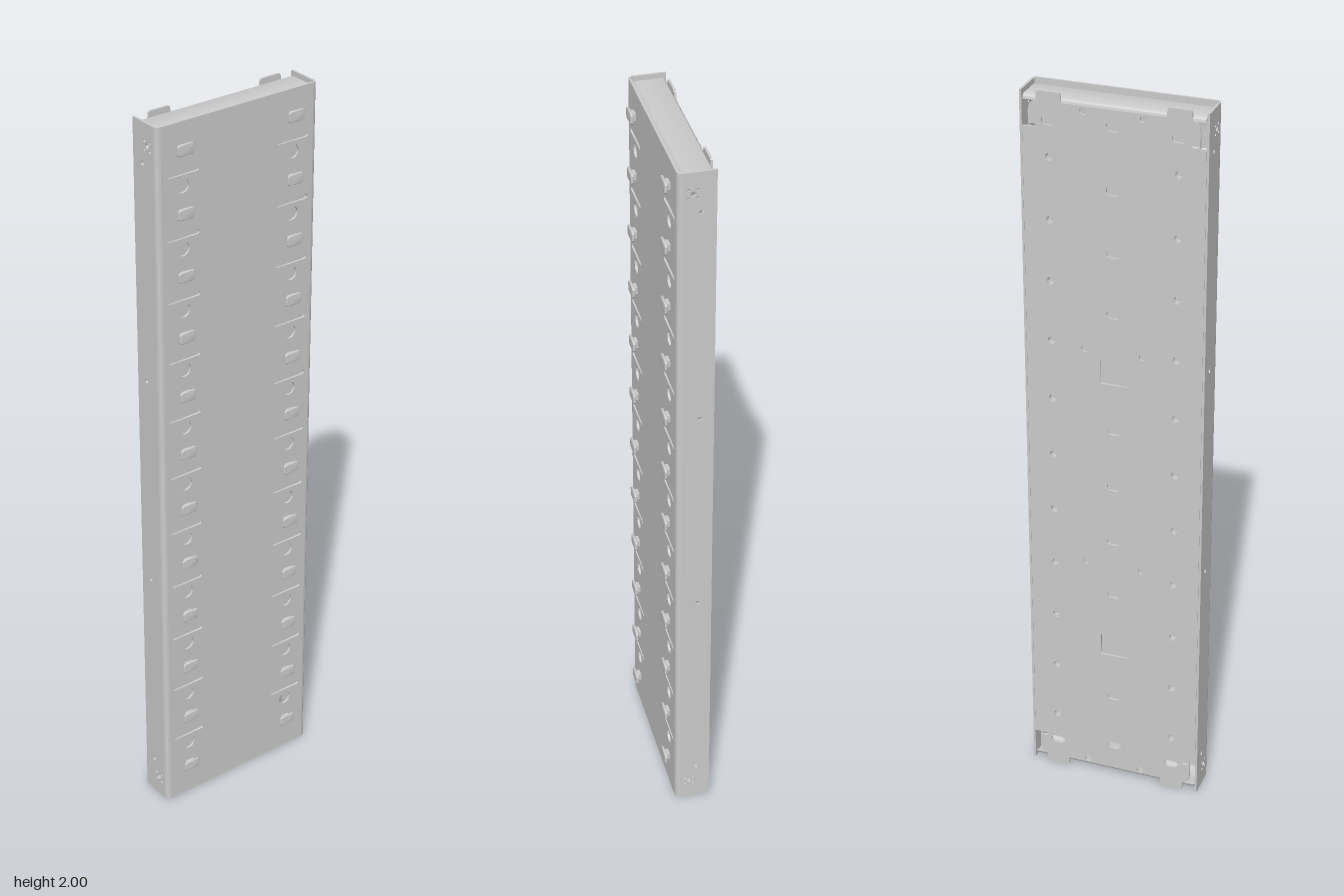
import * as THREE from 'three';
import { toCreasedNormals } from 'three/addons/utils/BufferGeometryUtils.js';

const W = 0.242, T = 0.006, BACK = -0.057, FRONT = 0.038, R = 0.012;
const Y0 = 0.003, Y1 = 1.997, PITCH = 0.1664, COL = 0.167;
const hookRows = Array.from({ length: 12 }, (_, i) => 0.1 + i * PITCH);
const holeRows = Array.from({ length: 11 }, (_, i) => 0.168 + i * PITCH);

const material = new THREE.MeshStandardMaterial({ color: 0xcccccc, side: THREE.DoubleSide });

function add(parent, name, geometry, x = 0, y = 0, z = 0) {
  const mesh = new THREE.Mesh(geometry, material);
  mesh.name = name;
  mesh.position.set(x, y, z);
  parent.add(mesh);
  return mesh;
}

function extrude(shape, depth, options = {}) {
  const g = new THREE.ExtrudeGeometry(shape, { depth, bevelEnabled: false, curveSegments: 8, ...options });
  return toCreasedNormals(g, 0.6);
}

// Rounded rectangle outline centred on (x, y)
function roundRect(target, x, y, w, h, r) {
  const a = w / 2 - r, b = h / 2 - r;
  target.absarc(x + a, y + b, r, 0, Math.PI / 2);
  target.absarc(x - a, y + b, r, Math.PI / 2, Math.PI);
  target.absarc(x - a, y - b, r, Math.PI, Math.PI * 1.5);
  target.absarc(x + a, y - b, r, Math.PI * 1.5, Math.PI * 2);
  target.closePath();
  return target;
}

const cutSlot = (shape, x, y, w, h, r) => shape.holes.push(roundRect(new THREE.Path(), x, y, w, h, r));
const cutRound = (shape, x, y, r) => shape.holes.push(new THREE.Path().absarc(x, y, r, 0, Math.PI * 2, true));

function rect(x0, y0, x1, y1) {
  return new THREE.Shape([[x0, y0], [x1, y0], [x1, y1], [x0, y1]].map(p => new THREE.Vector2(...p)));
}

// Front cover: perforated face, two sides and rounded bends
function buildCover() {
  const cover = new THREE.Group();
  cover.name = 'frontCover';

  const face = rect(-W + R, Y0, W - R, Y1);
  for (const s of [-1, 1]) {
    for (const y of holeRows) {
      cutRound(face, s * COL, y, 0.019);
      cutSlot(face, s * COL, y + 0.034, 0.098, 0.012, 0.0059);
    }
  }
  add(cover, 'coverFace', extrude(face, T), 0, 0, FRONT - T);

  const side = rect(BACK, Y0, FRONT - R, Y1);
  for (const y of [0.11, 0.705, 1.3, 1.89]) cutRound(side, -0.02, y, 0.006);
  for (const y of [0.06, 1.94]) {
    cutRound(side, 0, y, 0.007);
    for (let i = 0; i < 4; i++) {
      const a = Math.PI / 4 + i * Math.PI / 2;
      cutRound(side, Math.cos(a) * 0.016, y + Math.sin(a) * 0.016, 0.004);
    }
  }
  const sideGeometry = extrude(side, T).rotateY(-Math.PI / 2);
  add(cover, 'coverSideLeft', sideGeometry, W);
  add(cover, 'coverSideRight', sideGeometry, -W + T);

  // Quarter-round bends between face and sides
  const bend = new THREE.Shape();
  bend.absarc(0, 0, R, -Math.PI / 2, 0, false);
  bend.absarc(0, 0, R - T, 0, -Math.PI / 2, true);
  const bendGeometry = extrude(bend, Y1 - Y0).rotateX(-Math.PI / 2);
  add(cover, 'coverBendLeft', bendGeometry, W - R, Y0, FRONT - R);
  add(cover, 'coverBendRight', bendGeometry, -W + R, Y0, FRONT - R).scale.x = -1;
  return cover;
}

// Back plate with notched corners, raised tabs and a grid of holes
function buildBackPlate() {
  const back = new THREE.Group();
  back.name = 'backPan';
  const half = [
    [0.2355, 1.905], [0.22, 1.905], [0.22, 1.95], [0.217, 1.963], [0.208, 1.972],
    [0.2, 1.975], [0.198, 1.997], [0.195, 2], [0.14, 2], [0.137, 1.997], [0.134, 1.975],
  ];
  const flip = (sx, sy) => half.map(([x, y]) => new THREE.Vector2(sx * x, sy > 0 ? y : 2 - y));
  const plate = new THREE.Shape([
    ...flip(1, 1), ...flip(-1, 1).reverse(), ...flip(-1, -1), ...flip(1, -1).reverse(),
  ]);
  hookRows.forEach((y, i) => {
    if (i === 2 || i === 7) cutSlot(plate, 0, y, 0.075, 0.065, 0.003);
    else cutSlot(plate, 0, y, 0.038, 0.022, 0.0105);
  });
  for (const s of [-1, 1]) {
    for (const y of holeRows) cutRound(plate, s * COL, y, 0.0105);
    for (const y of [0.08, 1.925]) cutSlot(plate, s * COL, y, 0.038, 0.022, 0.0105);
    for (const y of [0.035, 0.69, 1.325, 1.962]) cutRound(plate, s * 0.077, y, 0.0095);
    for (const y of [0.09, 1.91]) cutSlot(plate, s * 0.207, y, 0.02, 0.008, 0.0038);
  }
  add(back, 'backPlate', extrude(plate, T), 0, 0, BACK);

  // Raised collars on the inside of the round holes
  const collar = new THREE.Shape().absarc(0, 0, 0.0135, 0, Math.PI * 2);
  cutRound(collar, 0, 0, 0.0095);
  const collarGeometry = extrude(collar, 0.011);
  for (const s of [-1, 1])
    for (const y of holeRows) add(back, 'holeCollar', collarGeometry, s * COL, y, BACK + T - 0.001);

  // End flange bent forward, with a return lip behind the cover face
  const z0 = BACK + 0.0005, z1 = 0.028, top = 1.986, r = 0.012, t = 0.005;
  const profile = new THREE.Shape();
  profile.moveTo(z0, top - r);
  profile.absarc(z0 + r, top - r, r, Math.PI, Math.PI / 2, true);
  profile.absarc(z1 - r, top - r, r, Math.PI / 2, 0, true);
  profile.lineTo(z1, 1.92);
  profile.lineTo(z1 - t, 1.92);
  profile.absarc(z1 - r, top - r, r - t, 0, Math.PI / 2, false);
  profile.absarc(z0 + r, top - r, r - t, Math.PI / 2, Math.PI, false);
  profile.closePath();
  const flangeGeometry = extrude(profile, 0.466).rotateY(-Math.PI / 2);
  add(back, 'topFlange', flangeGeometry, 0.233);
  add(back, 'bottomFlange', flangeGeometry, 0.233, 2).scale.y = -1;
  return back;
}

// Mushroom-headed rectangular hooks standing out of the cover
function buildHooks() {
  const hooks = new THREE.Group();
  hooks.name = 'hooks';
  const head = extrude(roundRect(new THREE.Shape(), 0, 0, 0.04, 0.022, 0.004), 0.004, {
    bevelEnabled: true, bevelThickness: 0.002, bevelSize: 0.004, bevelSegments: 2, curveSegments: 4,
  });
  const neck = new THREE.BoxGeometry(0.024, 0.018, 0.022);
  const base = new THREE.BoxGeometry(0.04, 0.024, 0.006);
  for (const s of [-1, 1]) {
    for (const y of hookRows) {
      add(hooks, 'hookHead', head, s * COL, y, 0.049);
      add(hooks, 'hookNeck', neck, s * COL, y, 0.038);
      add(hooks, 'hookBase', base, s * COL, y, 0.03);
    }
  }
  return hooks;
}

export function createModel() {
  const model = new THREE.Group();
  model.name = 'perforatedPanel';
  model.add(buildCover(), buildBackPlate(), buildHooks());
  return model;
}
